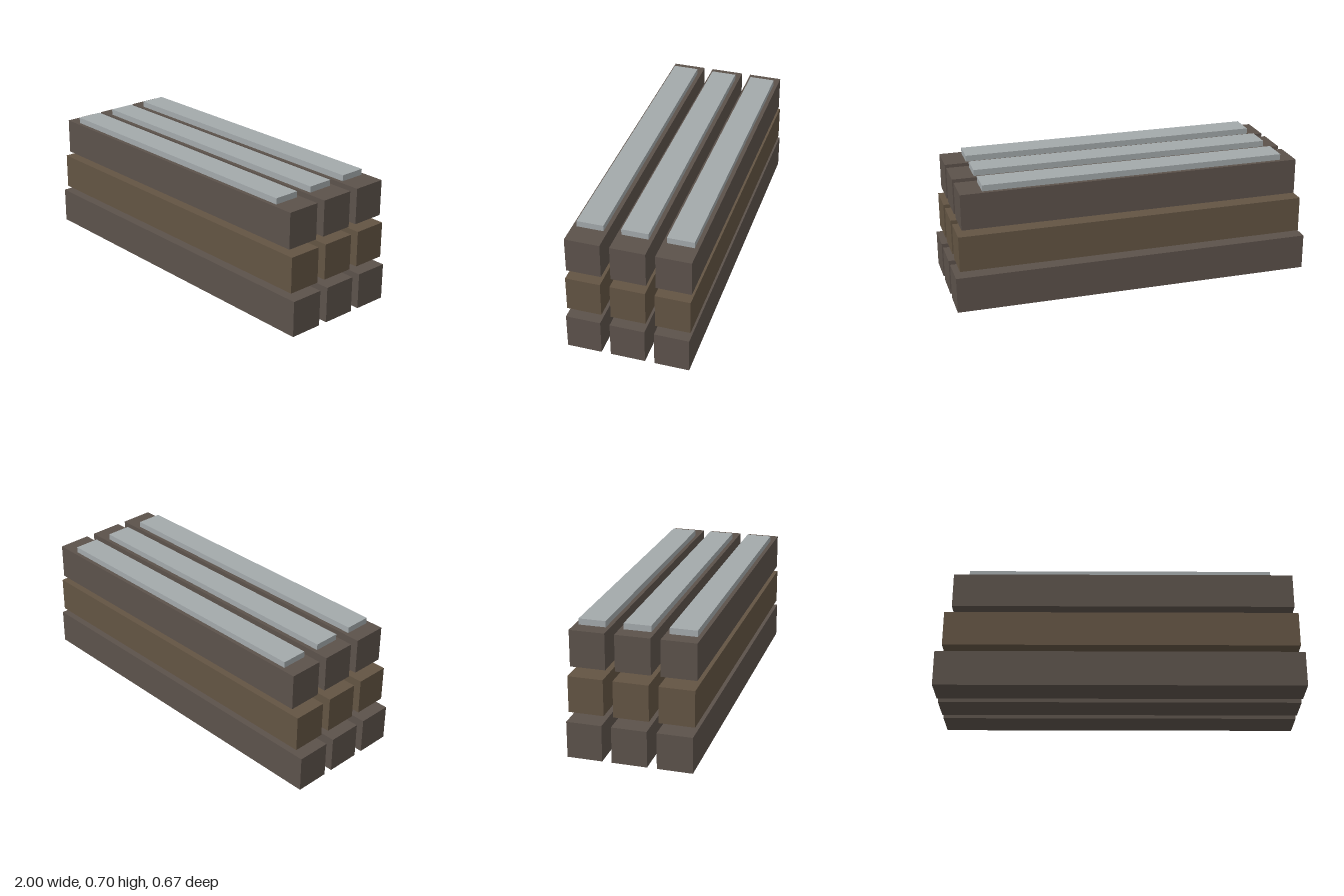
import * as THREE from 'three';

// Box given by its x range, y range, depth and z centre
function beam(name, [x0, x1], [y0, y1], depth, z, material) {
  const mesh = new THREE.Mesh(new THREE.BoxGeometry(x1 - x0, y1 - y0, depth), material);
  mesh.name = name;
  mesh.position.set((x0 + x1) / 2, (y0 + y1) / 2, z);
  return mesh;
}

export function createModel() {
  const model = new THREE.Group();
  model.name = 'beamStack';

  const greyWood = new THREE.MeshStandardMaterial({ color: 0x5c524b, flatShading: true });
  const brownWood = new THREE.MeshStandardMaterial({ color: 0x635443, flatShading: true });
  const paleTop = new THREE.MeshStandardMaterial({ color: 0xa3a9ab, flatShading: true });

  // Layers from the ground up: three timbers each, then a thin strip on every top timber
  const layers = [
    { name: 'bottomBeam', x: [-1, 1], y: [0, 0.198], depth: 0.188, material: greyWood },
    { name: 'middleBeam', x: [-0.962, 0.977], y: [0.236, 0.433], depth: 0.188, material: brownWood },
    { name: 'topBeam', x: [-0.922, 0.957], y: [0.47, 0.667], depth: 0.188, material: greyWood },
    { name: 'topStrip', x: [-0.838, 0.836], y: [0.667, 0.7], depth: 0.144, material: paleTop },
  ];

  for (const { name, x, y, depth, material } of layers) {
    const layer = new THREE.Group();
    layer.name = name + 'Layer';
    for (const i of [-1, 0, 1]) layer.add(beam(name, x, y, depth, i * 0.239, material));
    model.add(layer);
  }
  return model;
}
